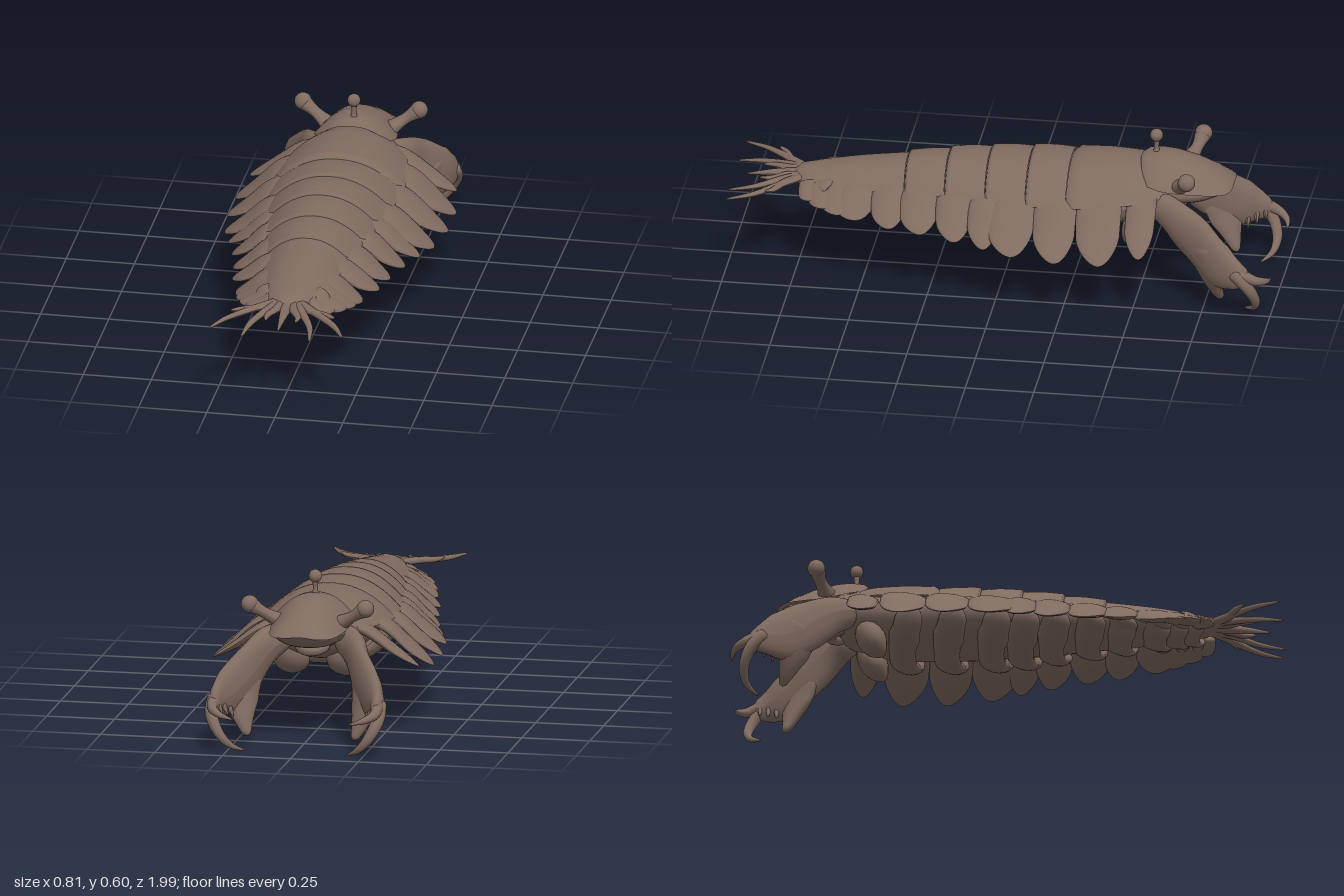
import * as THREE from 'three';

const shellBrown = new THREE.MeshStandardMaterial({ color: 0x806b60, side: THREE.DoubleSide });
shellBrown.name = 'shellBrown';

function gridGeometry(verts, rows, cols) {
  const index = [];
  for (let i = 0; i < rows - 1; i++)
    for (let j = 0; j < cols - 1; j++) {
      const a = i * cols + j, b = a + cols;
      index.push(a, a + 1, b + 1, a, b + 1, b);
    }
  const g = new THREE.BufferGeometry();
  g.setAttribute('position', new THREE.Float32BufferAttribute(verts, 3));
  g.setIndex(index);
  g.computeVertexNormals();
  return g;
}

function add(group, name, geometry) {
  const mesh = new THREE.Mesh(geometry, shellBrown);
  mesh.name = name;
  group.add(mesh);
  return mesh;
}

// Elliptical loft: points are [x, y, z, half width, half height]; e0 and e are the rounded shares at start and end
function loft(points, { e = 0.1, e0 = e, up = [0, 1, 0], steps = 20, sides = 16 } = {}) {
  const path = new THREE.CatmullRomCurve3(points.map(p => new THREE.Vector3(p[0], p[1], p[2])));
  const size = new THREE.CatmullRomCurve3(points.map(p => new THREE.Vector3(p[3], p[4], 0)));
  const ref = new THREE.Vector3(...up), verts = [];
  for (let i = 0; i <= steps; i++) {
    const t = (1 - Math.cos(Math.PI * i / steps)) / 2;
    const c = path.getPoint(t), r = size.getPoint(t), dir = path.getTangent(t);
    const v = ref.clone().addScaledVector(dir, -ref.dot(dir)).normalize();
    const u = v.clone().cross(dir);
    const d = Math.max(0, 1 - t / e0, 1 - (1 - t) / e);
    const k = Math.sqrt(Math.max(0, 1 - d * d)) + 1e-4;
    for (let j = 0; j <= sides; j++) {
      const a = (j % sides) / sides * Math.PI * 2;
      const p = c.clone().addScaledVector(u, Math.cos(a) * Math.max(r.x, 0.001) * k)
        .addScaledVector(v, Math.sin(a) * Math.max(r.y, 0.001) * k);
      verts.push(p.x, p.y, p.z);
    }
  }
  return gridGeometry(verts, steps + 1, sides + 1);
}

// Arched shell: each row is { z, w, top, edge, bow }
function arch(rows, cols = 33) {
  const verts = [];
  for (const { z, w, top, edge, bow } of rows)
    for (let j = 0; j < cols; j++) {
      const s = -Math.sin((j / (cols - 1) * 2 - 1) * Math.PI / 2);
      verts.push(s * w, edge + (top - edge) * (1 - Math.abs(s) ** 2.2), z + bow * (1 - s * s));
    }
  return gridGeometry(verts, rows.length, cols);
}

// Linear lookup in a table sorted by its first column
function lookup(table, z) {
  let i = 0;
  while (i < table.length - 2 && z > table[i + 1][0]) i++;
  const [a, b] = [table[i], table[i + 1]];
  const t = THREE.MathUtils.clamp((z - a[0]) / (b[0] - a[0]), 0, 1);
  return a.map((v, k) => v + (b[k] - v) * t);
}

// Back outline: z, half width, top, edge
const back = [
  [-0.62, 0.14, 0.465, 0.40], [-0.5, 0.205, 0.488, 0.39], [-0.38, 0.23, 0.49, 0.38],
  [-0.25, 0.236, 0.485, 0.372], [-0.1, 0.224, 0.482, 0.368], [0.05, 0.204, 0.474, 0.365],
  [0.2, 0.182, 0.457, 0.362], [0.35, 0.152, 0.435, 0.355], [0.5, 0.135, 0.408, 0.345],
  [0.65, 0.112, 0.38, 0.335], [0.76, 0.065, 0.362, 0.33]];

// Side flaps: z, tip x, half width, tip y
const flaps = [
  [-0.53, 0.38, 0.056, 0.258], [-0.385, 0.405, 0.084, 0.232], [-0.225, 0.405, 0.08, 0.232],
  [-0.065, 0.385, 0.087, 0.238], [0.04, 0.352, 0.06, 0.245], [0.15, 0.318, 0.068, 0.25],
  [0.28, 0.288, 0.072, 0.258], [0.395, 0.27, 0.065, 0.264], [0.52, 0.232, 0.076, 0.272],
  [0.585, 0.218, 0.064, 0.282], [0.64, 0.196, 0.056, 0.294], [0.69, 0.162, 0.046, 0.306]];

export function createModel() {
  const model = new THREE.Group();
  model.name = 'armouredSwimmer';

  // Overlapping back plates
  const seams = [-0.62, -0.25, -0.1, 0.05, 0.2, 0.35, 0.76];
  for (let i = 0; i < seams.length - 1; i++) {
    const rows = [];
    for (let k = 0; k <= 14; k++) {
      const t = k / 14, z = seams[i] + (seams[i + 1] - seams[i]) * t;
      const [, w, top, edge] = lookup(back, z);
      const swell = t === 1 ? -0.012 : -0.005 + 0.009 * Math.sin(Math.min(1, t * 1.7) * Math.PI / 2);
      rows.push({ z: z + (t === 1 ? 0 : 0.006 * t), w: w + swell, top: top + swell, edge, bow: 0.008 });
    }
    add(model, 'backPlate', arch(rows));
  }

  // Belly with a crosswise rib under each pair of flaps
  add(model, 'belly', loft([
    [0, 0.38, -0.62, 0.12, 0.06], [0, 0.355, -0.45, 0.175, 0.1], [0, 0.35, -0.2, 0.185, 0.1],
    [0, 0.35, 0.05, 0.165, 0.095], [0, 0.345, 0.3, 0.132, 0.072], [0, 0.34, 0.55, 0.1, 0.044],
    [0, 0.342, 0.78, 0.05, 0.016]], { e: 0.06, steps: 40, sides: 28 }));
  for (const [z] of flaps.slice(1, 11)) {
    const [, w, , edge] = lookup(back, z);
    const low = 0.25 + Math.max(0, z) * 0.09, thick = 0.03 - Math.max(0, z) * 0.015;
    const half = [[-0.98, edge - 0.035, 0.04], [-0.72, low + 0.03, 0.02], [-0.4, low + 0.004, 0.005]]
      .map(([k, y, dz]) => [k * w, y, z + dz, 0.052, thick]);
    const mirrored = half.map(([x, ...rest]) => [-x, ...rest]).reverse();
    add(model, 'bellyRib', loft([...half, [0, low, z, 0.05, thick], ...mirrored],
      { e: 0.12, up: [0, 1, 0.35], steps: 32 }));
  }

  // Head shield with a thin rim
  const head = [
    [-0.835, 0.045, 0.412, 0.408], [-0.83, 0.08, 0.42, 0.407], [-0.812, 0.107, 0.436, 0.406],
    [-0.77, 0.125, 0.464, 0.407], [-0.7, 0.136, 0.497, 0.41], [-0.62, 0.147, 0.517, 0.418],
    [-0.56, 0.15, 0.521, 0.425], [-0.52, 0.142, 0.514, 0.435], [-0.508, 0.13, 0.498, 0.435]];
  add(model, 'headShield', arch(head.map(([z, w, top, edge], i) =>
    ({ z: z - (i > 5 ? 0.02 : 0), w, top, edge, bow: Math.max(0, i - 5) * 0.011 }))));
  add(model, 'headUnderside', loft([
    [0, 0.40, -0.5, 0.13, 0.06], [0, 0.395, -0.62, 0.13, 0.06],
    [0, 0.395, -0.72, 0.115, 0.045], [0, 0.41, -0.825, 0.085, 0.012]], { e: 0.12, sides: 24 }));

  // Mouth ring
  const mouth = add(model, 'mouthRing', new THREE.TorusGeometry(0.045, 0.02, 10, 24));
  mouth.rotation.x = Math.PI / 2 - 0.3;
  mouth.position.set(0, 0.335, -0.6);

  // Middle eye
  add(model, 'middleEyeStalk', loft([[0, 0.5, -0.55, 0.017, 0.017], [0, 0.535, -0.55, 0.009, 0.009],
    [0, 0.575, -0.55, 0.014, 0.014]], { up: [0, 0, 1] }));
  add(model, 'middleEye', new THREE.SphereGeometry(0.024, 20, 14)).position.set(0, 0.579, -0.55);

  for (const s of [1, -1]) {
    const part = (name, pts, opt) => add(model, name, loft(pts.map(p => [s * p[0], ...p.slice(1)]), opt));

    // Side eyes
    part('sideEyeStalk', [[0.11, 0.43, -0.65, 0.036, 0.03], [0.165, 0.465, -0.675, 0.022, 0.02],
      [0.208, 0.493, -0.688, 0.031, 0.029]]);
    add(model, 'sideEye', new THREE.SphereGeometry(0.032, 20, 14)).position.set(s * 0.213, 0.497, -0.69);

    // Swimming flaps, broad at the root with a rounded tip set forward
    for (const [z, tip, half, tipY] of flaps) {
      const [, w, , edge] = lookup(back, z);
      const m = (w + tip) / 2;
      part('sideFlap', [[w * 0.7, edge + 0.008, z + half * 0.2, half * 0.95, 0.018],
        [w, edge - 0.014, z + half * 0.15, half, 0.022],
        [m, (edge + tipY) / 2 - 0.01, z + half * 0.05, half * 0.95, 0.016],
        [tip, tipY, z - half * 0.15, half * 0.72, 0.01]], { e: 0.38, e0: 0.08, up: [0, 1, 0.12] });
    }
    part('throatLobe', [[0.07, 0.33, -0.53, 0.06, 0.05], [0.1, 0.26, -0.49, 0.068, 0.05],
      [0.11, 0.198, -0.45, 0.05, 0.03]], { e: 0.4, up: [0, 0, 1] });

    // Grasping claw: arm, hand, hooked fingers and inner teeth
    part('clawArm', [[0.1, 0.365, -0.56, 0.05, 0.05], [0.16, 0.335, -0.635, 0.042, 0.07],
      [0.205, 0.272, -0.725, 0.036, 0.09], [0.26, 0.205, -0.81, 0.036, 0.092],
      [0.295, 0.18, -0.88, 0.027, 0.06], [0.298, 0.17, -0.93, 0.018, 0.03]], { e: 0.08, steps: 28 });
    part('longFinger', [[0.3, 0.2, -0.87, 0.028, 0.03], [0.306, 0.14, -0.925, 0.022, 0.024],
      [0.275, 0.075, -0.95, 0.018, 0.019], [0.235, 0.03, -0.94, 0.012, 0.012],
      [0.19, 0.003, -0.9, 0.003, 0.003]], { e: 0.05, up: [1, 0, 0.3] });
    part('upperFinger', [[0.3, 0.19, -0.89, 0.025, 0.025], [0.298, 0.165, -0.95, 0.017, 0.018],
      [0.265, 0.15, -0.985, 0.012, 0.012], [0.21, 0.135, -0.997, 0.002, 0.002]], { e: 0.05 });
    part('innerFinger', [[0.22, 0.26, -0.735, 0.075, 0.03], [0.228, 0.165, -0.77, 0.072, 0.03],
      [0.213, 0.09, -0.795, 0.038, 0.024], [0.195, 0.038, -0.815, 0.012, 0.012]],
      { e: 0.08, up: [s * 0.65, 0, 0.76] });
    for (let i = 0; i < 4; i++) {
      const z = -0.81 - i * 0.03, y = 0.13 + i * 0.012, x = 0.24 + i * 0.014;
      part('clawTooth', [[x + 0.02, y + 0.03, z, 0.014, 0.014], [x, y, z - 0.005, 0.01, 0.01],
        [x - 0.015, y - 0.03, z - 0.008, 0.002, 0.002]], { up: [0, 0, 1], steps: 8, sides: 8 });
    }

    // Tail spines
    const spines = [[0.245, 0.33, 0.985, 0.13], [0.125, 0.31, 0.995, 0.075],
      [0.19, 0.345, 0.85, 0.12], [0.055, 0.335, 0.89, 0.04]];
    for (const [x, y, z, bend] of spines)
      part('tailSpine', [[0.03, 0.342, 0.72, 0.018, 0.014], [bend * 0.75, 0.34, 0.79, 0.017, 0.013],
        [(bend + x) / 2 + 0.008, (0.335 + y) / 2, (0.8 + z) / 2, 0.012, 0.01],
        [x, y, z, 0.004, 0.004]], { e: 0.06, sides: 10 });
  }
  add(model, 'middleTailSpine', loft([[0, 0.342, 0.72, 0.03, 0.016], [0, 0.332, 0.84, 0.015, 0.014],
    [0, 0.32, 0.945, 0.003, 0.003]], { e: 0.06, sides: 10 }));

  return model;
}
